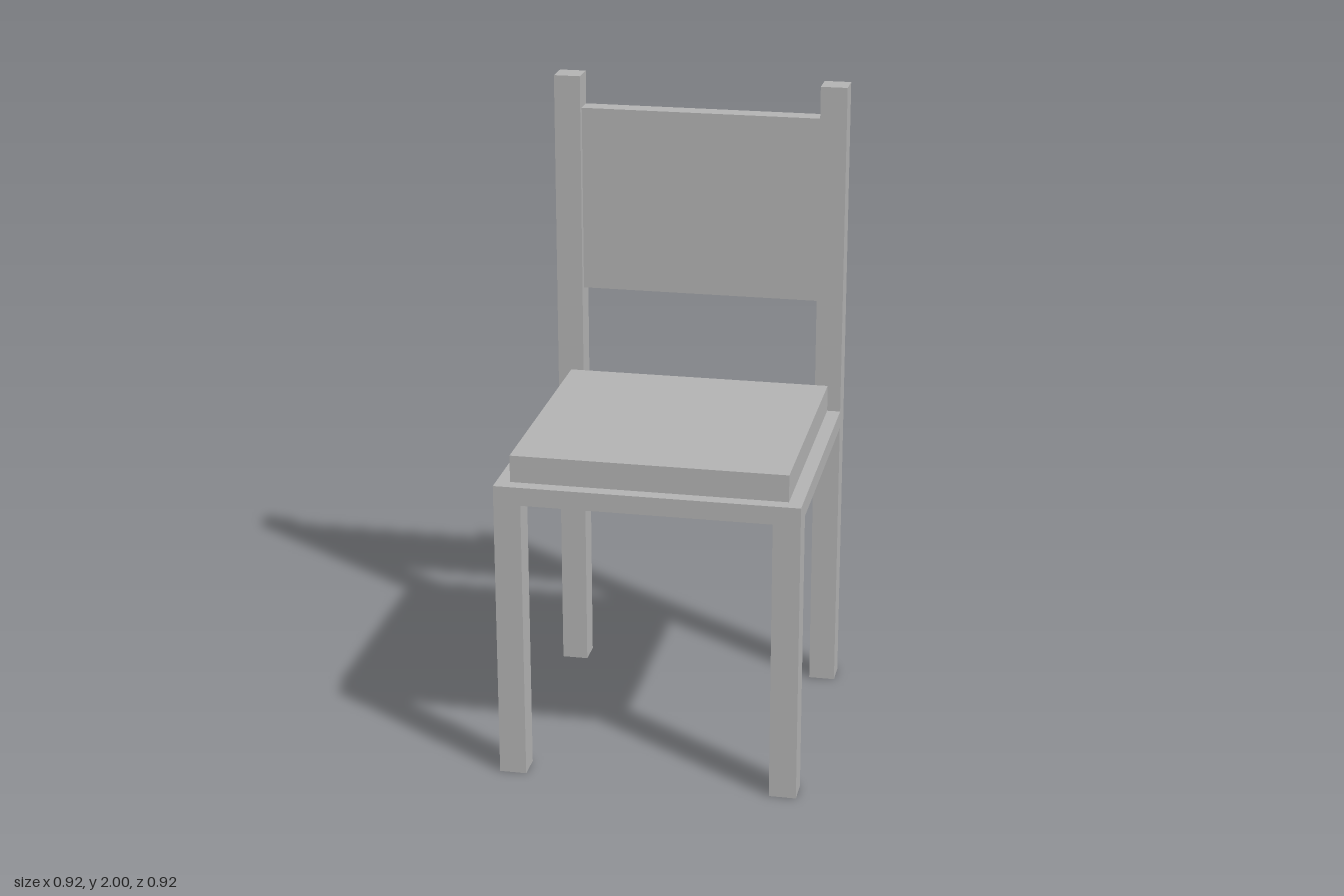
import * as THREE from 'three';

export function createModel() {
  const model = new THREE.Group();
  model.name = 'chair';
  const grey = new THREE.MeshStandardMaterial({ color: 0xb2b2b2 });
  grey.name = 'plain grey';

  // Box given by its minimum and maximum corners
  function box(name, [x0, y0, z0], [x1, y1, z1]) {
    const mesh = new THREE.Mesh(new THREE.BoxGeometry(x1 - x0, y1 - y0, z1 - z0), grey);
    mesh.position.set((x0 + x1) / 2, (y0 + y1) / 2, (z0 + z1) / 2);
    mesh.name = name;
    model.add(mesh);
  }

  const outer = 0.462, inner = 0.379; // outer and inner faces of the legs
  const frameBottom = 0.89, frameTop = 0.947;

  // Legs, with the back posts rising above the seat frame
  for (const [side, x0, x1] of [['left', inner, outer], ['right', -outer, -inner]]) {
    box(side + 'FrontLeg', [x0, 0, inner], [x1, frameBottom, outer]);
    box(side + 'BackLeg', [x0, 0, -outer], [x1, frameBottom, -inner]);
    box(side + 'BackPost', [x0, frameTop, -outer], [x1, 2, -inner]);
  }

  // Seat frame and cushion
  box('seatFrame', [-outer, frameBottom, -outer], [outer, frameTop, outer]);
  box('seatCushion', [-0.42, frameTop, -inner], [0.42, 1.031, 0.42]);

  // Backrest panel, flush with the rear of the posts
  box('backrest', [-inner, 1.306, -outer], [inner, 1.895, -0.4]);

  return model;
}
